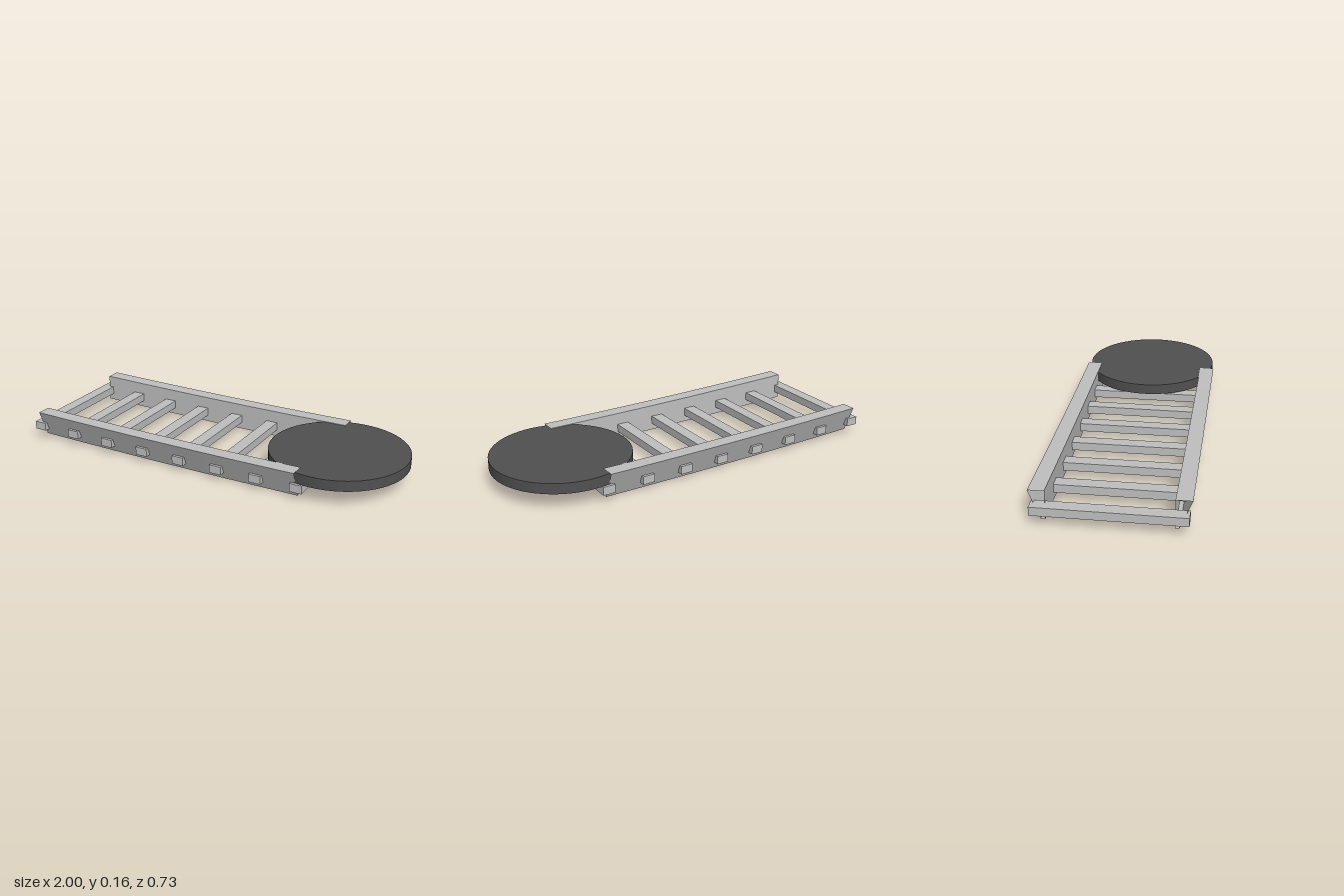
import * as THREE from 'three';

// Gentle upward bow along the length
const bow = (x) => 0.0112 * (x - 0.2) ** 2;

// Open-ended hollow rail: tapered section with a vertical inner wall, swept along x
function railGeometry(side) {
  const section = [[0.29, 0], [0.31, 0], [0.367, 0.143], [0.29, 0.143]];
  const x0 = -0.96, x1 = 0.56, steps = 12;
  const pos = [];
  const point = (i, k) => {
    const x = x0 + (x1 - x0) * i / steps;
    const [z, y] = section[k % 4];
    return [x, y + bow(x), z * side];
  };
  for (let i = 0; i < steps; i++) {
    for (let k = 0; k < 4; k++) {
      const a = point(i, k), b = point(i + 1, k), c = point(i + 1, k + 1), d = point(i, k + 1);
      const quad = side > 0 ? [a, b, c, a, c, d] : [a, c, b, a, d, c];
      pos.push(...quad.flat());
    }
  }
  const g = new THREE.BufferGeometry();
  g.setAttribute('position', new THREE.Float32BufferAttribute(pos, 3));
  g.computeVertexNormals();
  return g;
}

export function createModel() {
  const group = new THREE.Group();
  const lightGrey = new THREE.MeshStandardMaterial({ color: 0xbfbfbf, side: THREE.DoubleSide });
  lightGrey.name = 'lightGrey';
  const darkGrey = new THREE.MeshStandardMaterial({ color: 0x505050 });
  darkGrey.name = 'darkGrey';

  const add = (name, geometry, material, x = 0, y = 0, z = 0) => {
    const mesh = new THREE.Mesh(geometry, material);
    mesh.name = name;
    mesh.position.set(x, y, z);
    group.add(mesh);
    return mesh;
  };

  // Side rails
  add('frontRail', railGeometry(1), lightGrey);
  add('backRail', railGeometry(-1), lightGrey);

  // Rungs running through both rails
  const rungGeometry = new THREE.BoxGeometry(0.065, 0.043, 0.712);
  for (let i = 0; i < 8; i++) {
    const x = -0.967 + i * 0.219;
    add('rung' + (i + 1), rungGeometry, lightGrey, x, 0.058 + bow(x), 0);
  }

  // Round platform at the end
  add('disc', new THREE.CylinderGeometry(0.357, 0.357, 0.055, 64), darkGrey, 0.643, 0.1135, 0);

  return group;
}
